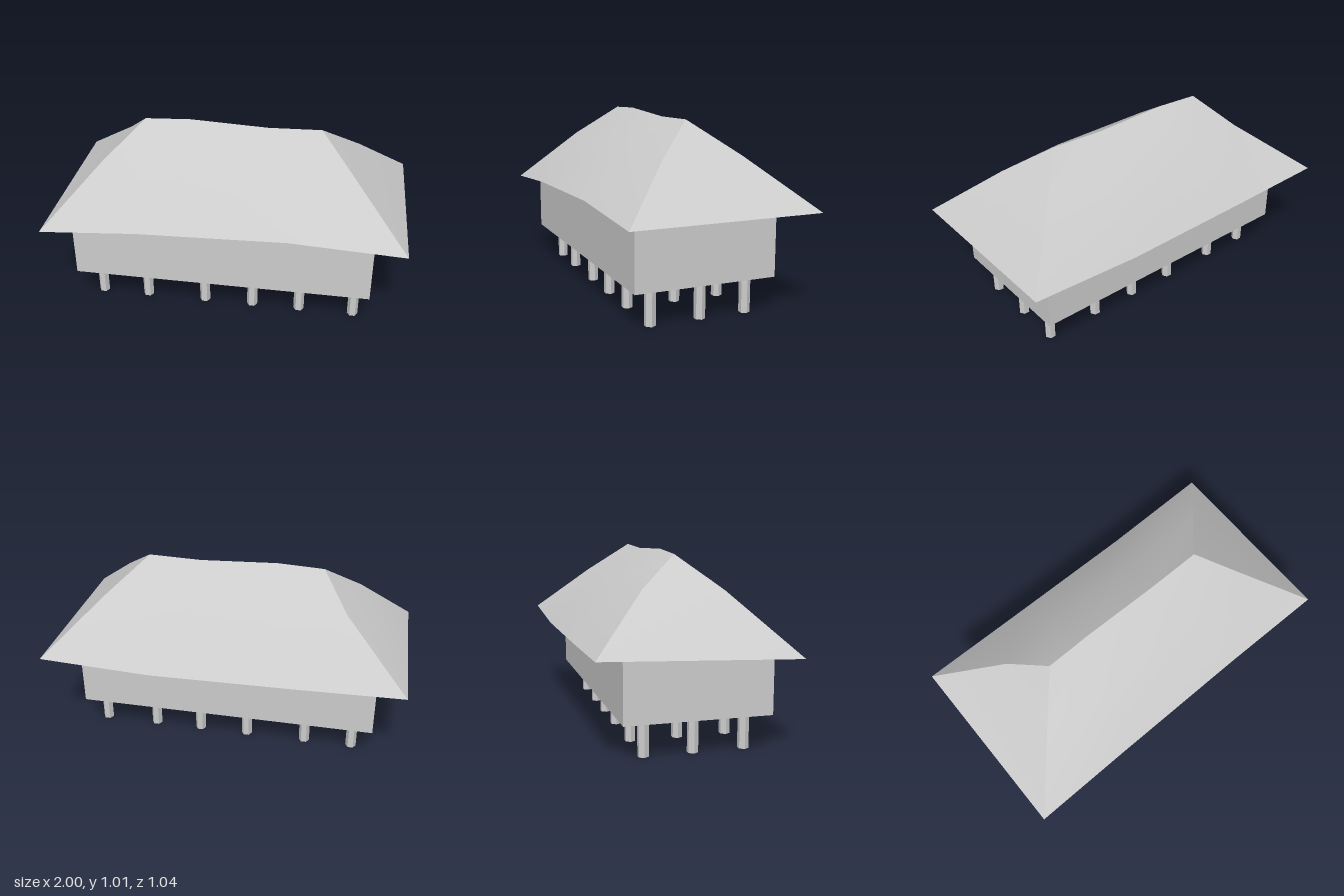
import * as THREE from 'three';
import { toCreasedNormals } from 'three/addons/utils/BufferGeometryUtils.js';

const material = new THREE.MeshStandardMaterial({ color: 0xcccccc });

// Skins consecutive rows of points (each row left to right, rows bottom to top)
function skin(out, ...rows) {
  for (let r = 0; r < rows.length - 1; r++) {
    for (let i = 0; i < rows[r].length - 1; i++) {
      const a = rows[r][i], b = rows[r][i + 1];
      const c = rows[r + 1][i + 1], d = rows[r + 1][i];
      out.push(...a, ...b, ...c);
      if (c !== d) out.push(...a, ...c, ...d);
    }
  }
}

function createRoof() {
  // Rows run from -x to +x; the first and last points lie on the hips
  const ridge = [[-0.5, 1, 0], [-0.24, 1.012, 0], [0.2, 0.992, 0], [0.5, 1, 0]];
  const frontMid = [[-0.7, 0.825, 0.21], [-0.3, 0.85, 0.26], [0.3, 0.84, 0.26], [0.7, 0.83, 0.22]];
  const frontEave = [[-1, 0.513, 0.52], [-0.45, 0.556, 0.52], [0.37, 0.584, 0.52], [1, 0.555, 0.52]];
  const backMid = [[-0.65, 0.84, -0.21], [-0.3, 0.84, -0.25], [0.3, 0.82, -0.25], [0.71, 0.825, -0.22]];
  const backEave = [[-1, 0.555, -0.525], [-0.4, 0.54, -0.525], [0.38, 0.527, -0.525], [1, 0.555, -0.525]];
  const flip = (row) => [...row].reverse();

  const p = [];
  skin(p, frontEave, frontMid, ridge);
  skin(p, flip(backEave), flip(backMid), flip(ridge));
  // Hipped ends
  skin(p, [backEave[0], frontEave[0]], [backMid[0], frontMid[0]], [ridge[0], ridge[0]]);
  skin(p, [frontEave[3], backEave[3]], [frontMid[3], backMid[3]], [ridge[3], ridge[3]]);
  // Soffit
  skin(p, backEave, frontEave);

  const geometry = new THREE.BufferGeometry();
  geometry.setAttribute('position', new THREE.Float32BufferAttribute(p, 3));
  return toCreasedNormals(geometry, 0.5);
}

export function createModel() {
  const model = new THREE.Group();
  model.name = 'stiltHouse';
  const add = (name, geometry, x = 0, y = 0, z = 0) => {
    const mesh = new THREE.Mesh(geometry, material);
    mesh.name = name;
    mesh.position.set(x, y, z);
    model.add(mesh);
  };

  add('roof', createRoof());

  // Walls, carried up slightly into the roof
  add('walls', new THREE.BoxGeometry(1.675, 0.4, 0.785), -0.0075, 0.397, 0.0325);

  // Hexagonal stilts in three rows of six
  const stilt = new THREE.CylinderGeometry(0.03, 0.03, 0.2, 6).rotateY(Math.PI / 6);
  const stiltGeometry = toCreasedNormals(stilt, 0.5);
  for (const z of [0.31, 0.033, -0.23]) {
    for (const x of [-0.73, -0.457, -0.115, 0.165, 0.437, 0.747]) {
      add('stilt', stiltGeometry, x, 0.1, z);
    }
  }
  return model;
}
